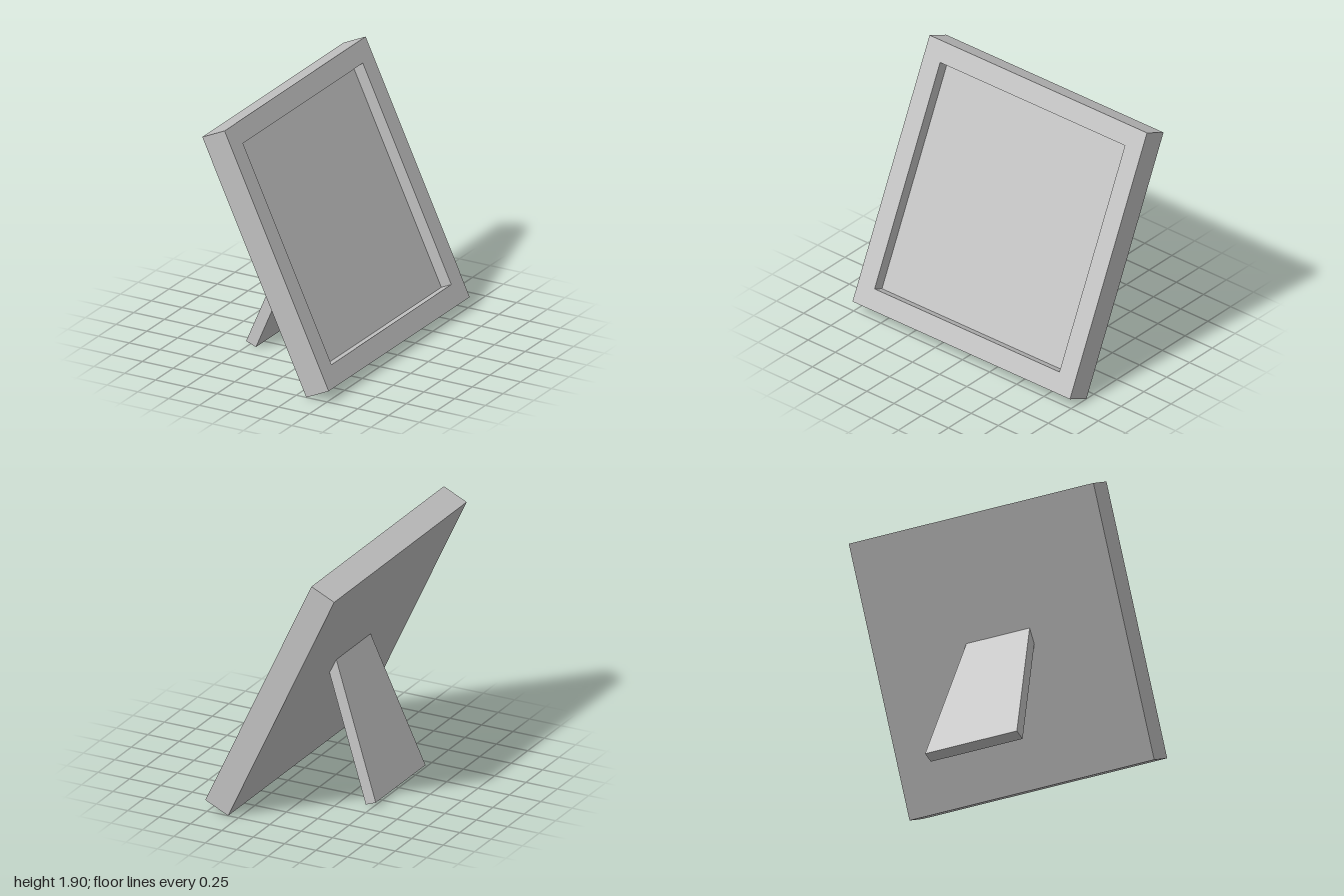
import * as THREE from 'three';

const SIZE = 2;       // frame side
const OPENING = 1.7;  // recess side
const RECESS = 0.09;  // recess depth
const BACK = 0.11;    // backing thickness

const grey = new THREE.MeshStandardMaterial({ color: 0xc0c0c0 });
grey.name = 'grey';

function addMesh(parent, name, geometry, z = 0) {
  const mesh = new THREE.Mesh(geometry, grey);
  mesh.name = name;
  mesh.position.z = z;
  parent.add(mesh);
}

function polygon(points) {
  return new THREE.Shape(points.map(([x, y]) => new THREE.Vector2(x, y)));
}

function square(side) {
  const h = side / 2;
  return polygon([[-h, -h], [h, -h], [h, h], [-h, h]]);
}

// Group whose local z faces +x, then leans about the z axis
function leaningGroup(name, degrees, x, y) {
  const group = new THREE.Group();
  group.name = name;
  group.rotation.set(0, Math.PI / 2, THREE.MathUtils.degToRad(degrees), 'ZYX');
  group.position.set(x, y, 0);
  return group;
}

export function createModel() {
  const model = new THREE.Group();
  model.name = 'pictureFrame';

  // Square frame leaning back, with a recessed picture panel
  const frame = leaningGroup('frame', 25, 0, 0.949);
  const rim = square(SIZE);
  rim.holes.push(square(OPENING));
  addMesh(frame, 'rim',
    new THREE.ExtrudeGeometry(rim, { depth: RECESS, bevelEnabled: false }), 0.1 - RECESS);
  addMesh(frame, 'backPanel',
    new THREE.BoxGeometry(SIZE, SIZE, BACK), -0.1 + BACK / 2);
  model.add(frame);

  // Tapered easel leg, its top set into the back panel
  const stand = leaningGroup('stand', -21, -0.515, 0.032);
  const leg = polygon([[-0.375, 0], [0.375, 0], [0.255, 1.08], [-0.255, 1.08]]);
  addMesh(stand, 'standLeg',
    new THREE.ExtrudeGeometry(leg, { depth: 0.085, bevelEnabled: false }));
  model.add(stand);

  return model;
}
